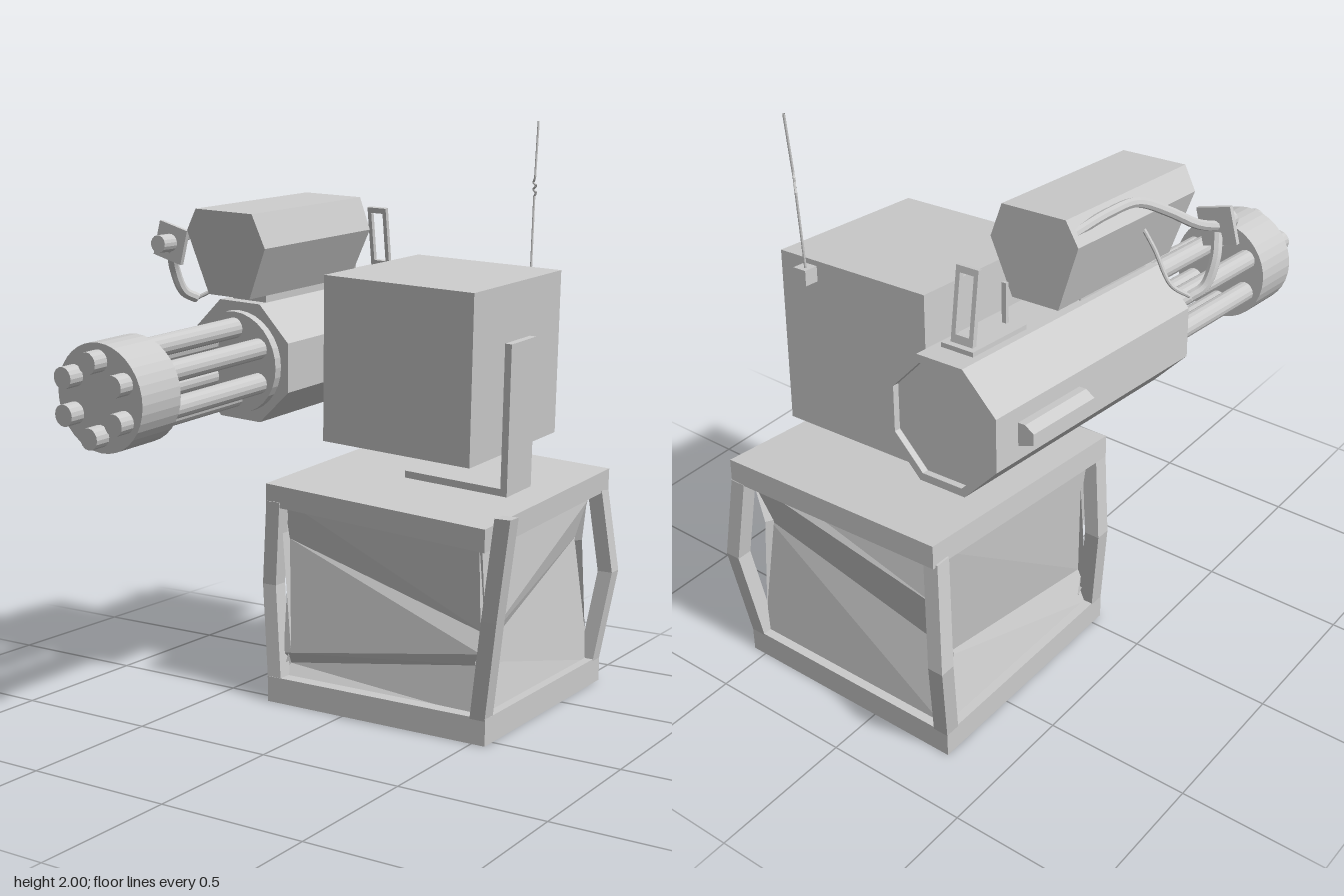
import * as THREE from 'three';

const grey = new THREE.MeshStandardMaterial({ color: 0xcccccc, flatShading: true });
const sheet = new THREE.MeshStandardMaterial({ color: 0xcccccc, flatShading: true, side: THREE.DoubleSide });

function add(parent, name, geometry, x = 0, y = 0, z = 0, material = grey) {
  const mesh = new THREE.Mesh(geometry, material);
  mesh.name = name;
  mesh.position.set(x, y, z);
  parent.add(mesh);
  return mesh;
}

// Box given by its lower and upper corner
function block(parent, name, a, b) {
  const size = b.map((v, i) => v - a[i]);
  const mid = b.map((v, i) => (v + a[i]) / 2);
  return add(parent, name, new THREE.BoxGeometry(...size), ...mid);
}

// Round bar along z
function bar(parent, name, r, z0, z1, x = 0, y = 0, sides = 16) {
  const g = new THREE.CylinderGeometry(r, r, z1 - z0, sides).rotateX(Math.PI / 2);
  return add(parent, name, g, x, y, (z0 + z1) / 2);
}

function tube(parent, name, pts, r, straight = false) {
  const v = pts.map(p => new THREE.Vector3(...p));
  let curve = new THREE.CatmullRomCurve3(v);
  if (straight) {
    curve = new THREE.CurvePath();
    for (let i = 1; i < v.length; i++) curve.add(new THREE.LineCurve3(v[i - 1], v[i]));
  }
  return add(parent, name, new THREE.TubeGeometry(curve, straight ? 60 : 28, r, 8), 0, 0, 0, sheet);
}

// Polygon, optionally with a hole, extruded along z
function prism(parent, name, pts, z0, z1, hole) {
  const shape = new THREE.Shape(pts.map(p => new THREE.Vector2(...p)));
  if (hole) shape.holes.push(new THREE.Path(hole.map(p => new THREE.Vector2(...p))));
  const g = new THREE.ExtrudeGeometry(shape, { depth: z1 - z0, bevelEnabled: false });
  return add(parent, name, g, 0, 0, z0);
}

const octagon = r => Array.from({ length: 8 }, (_, i) => {
  const a = (i + 0.5) * Math.PI / 4;
  return [r * Math.cos(a), r * Math.sin(a)];
});

// Square post bent through three points
function post(parent, name, pts) {
  const g = new THREE.BoxGeometry(0.055, 2, 0.055, 1, 2, 1);
  const p = g.attributes.position;
  for (let i = 0; i < p.count; i++) {
    const c = pts[Math.round(p.getY(i)) + 1];
    p.setXYZ(i, p.getX(i) + c[0], c[1], p.getZ(i) + c[2]);
  }
  return add(parent, name, g);
}

// Creased sheet; each row is [height at left, height at right, inset at left, inset at right]
function panel(parent, name, turn, rows) {
  const pos = [], idx = [];
  rows.forEach(([l, r, insetL, insetR], i) => {
    pos.push(-0.39, l, 0.4 - insetL, 0.39, r, 0.4 - insetR);
    if (i) {
      const k = 2 * i;
      idx.push(k - 2, k, k + 1, k - 2, k + 1, k - 1);
    }
  });
  const g = new THREE.BufferGeometry();
  g.setAttribute('position', new THREE.Float32BufferAttribute(pos, 3));
  g.setIndex(idx);
  g.computeVertexNormals();
  add(parent, name, g, 0, 0, 0, sheet).rotation.y = turn * Math.PI / 2;
}

function createBase() {
  const base = new THREE.Group();
  base.name = 'base';
  base.position.set(0.12, 0, -0.38);
  block(base, 'baseSlab', [-0.43, 0, -0.43], [0.43, 0.09, 0.43]);

  // Dented side panels
  panel(base, 'frontPanel', 0, [[0.71, 0.66, 0.02, 0.01], [0.57, 0.35, 0.05, 0.04],
    [0.17, 0.29, 0.01, 0.01], [0.125, 0.245, 0.05, 0.04], [0.08, 0.08, 0.01, 0.01]]);
  panel(base, 'rightPanel', 1, [[0.66, 0.72, 0.02, 0.01], [0.31, 0.665, 0.01, 0.01],
    [0.26, 0.55, 0.03, 0.04], [0.08, 0.08, 0, 0]]);
  panel(base, 'backPanel', 2, [[0.73, 0.78, 0.03, 0.06], [0.69, 0.55, 0.01, 0.01],
    [0.53, 0.34, 0.05, 0.06], [0.08, 0.08, 0, 0]]);
  panel(base, 'leftPanel', 3, [[0.78, 0.71, 0, 0], [0.31, 0.2, 0.06, 0.04], [0.08, 0.08, 0, 0]]);

  // Buckled corner posts, one torn loose
  post(base, 'frontLeftPost', [[-0.402, 0.08, 0.402], [-0.44, 0.41, 0.375], [-0.405, 0.71, 0.4]]);
  post(base, 'frontRightPost', [[0.4, 0.08, 0.402], [0.47, 0.43, 0.46], [0.54, 0.775, 0.51]]);
  post(base, 'backLeftPost', [[-0.402, 0.08, -0.402], [-0.448, 0.41, -0.472], [-0.395, 0.77, -0.415]]);
  post(base, 'backRightPost', [[0.402, 0.08, -0.402], [0.455, 0.41, -0.435], [0.42, 0.71, -0.41]]);
  return base;
}

function createGun() {
  const gun = new THREE.Group();
  gun.name = 'gun';
  gun.position.set(-0.497, 0.431, 0);

  // Eight-sided housing with a rim at the rear
  prism(gun, 'housing', octagon(0.217), -0.435, 0.5);
  prism(gun, 'rearRim', octagon(0.217), -0.457, -0.435, octagon(0.19));
  bar(gun, 'frontCollar', 0.172, 0.5, 0.53, 0, 0, 32);

  // Six barrels held by a drum
  for (let i = 0; i < 6; i++) {
    const a = Math.PI / 2 + i * Math.PI / 3;
    bar(gun, 'barrel', 0.035, 0.52, 1.237, 0.117 * Math.cos(a), 0.117 * Math.sin(a));
  }
  bar(gun, 'barrelDrum', 0.172, 1.008, 1.183, 0, 0, 36);

  // Grip rail and sights
  prism(gun, 'sideRail', [[-0.195, -0.04], [-0.195, 0.035], [-0.225, 0.035], [-0.255, 0.015], [-0.255, -0.02]], -0.36, -0.075);
  block(gun, 'sightBase', [-0.058, 0.195, -0.38], [0.058, 0.215, -0.14]);
  const frame = prism(gun, 'rearSightFrame',
    [[-0.04, 0], [0.04, 0], [0.04, 0.23], [-0.04, 0.23]], -0.008, 0.008,
    [[-0.025, 0.03], [0.025, 0.03], [0.025, 0.21], [-0.025, 0.21]]);
  frame.position.set(0, 0.21, -0.36);
  frame.rotation.x = 0.14;
  block(gun, 'frontSight', [-0.008, 0.21, -0.17], [0.008, 0.34, -0.158]);

  // Pod on a short neck above the housing
  block(gun, 'podNeck', [-0.06, 0.19, 0.12], [0.08, 0.24, 0.46]);
  const pod = prism(gun, 'pod',
    [[-0.095, -0.16], [0.075, -0.16], [0.155, 0.015], [0.112, 0.125], [-0.12, 0.125], [-0.165, 0.05]], -0.025, 0.59);
  pod.position.x = 0.01;
  pod.position.y = 0.385;
  // Front face rakes back towards the bottom
  const p = pod.geometry.attributes.position;
  for (let i = 0; i < p.count; i++) {
    if (p.getZ(i) > 0.3) p.setZ(i, p.getZ(i) + (p.getY(i) - 0.125) * 0.12);
  }
  return gun;
}

export function createModel() {
  const model = new THREE.Group();
  model.name = 'turret';
  model.add(createBase());

  // Everything above the base leans together
  const head = new THREE.Group();
  head.name = 'head';
  head.position.set(0.13, 0.777, -0.385);
  head.rotation.set(0.078, -0.026, -0.064);
  model.add(head);
  block(head, 'lid', [-0.433, -0.078, -0.435], [0.433, 0, 0.443]);
  block(head, 'body', [-0.293, 0.143, -0.283], [0.288, 0.717, 0.303]);
  block(head, 'bracketArm', [0.29, 0, -0.07], [0.315, 0.522, 0.097]);
  block(head, 'bracketFoot', [-0.09, 0, -0.07], [0.29, 0.025, 0.097]);
  block(head, 'antennaMount', [0.137, 0.65, -0.332], [0.187, 0.7, -0.283]);
  head.add(createGun());

  // Whip antenna with a kinked spring
  const whip = [[0.337, 1.46, -0.636], [0.337, 1.745, -0.654]];
  for (let i = 0; i < 4; i++) {
    const s = i % 2 ? -0.013 : 0.013;
    whip.push([0.337 + s, 1.755 + i * 0.012, -0.656 + s]);
  }
  whip.push([0.337, 1.805, -0.658], [0.337, 2.0, -0.678]);
  tube(model, 'antenna', whip, 0.004, true);

  // Lamp on a curved stalk, with a hanging cable
  const lamp = new THREE.Group();
  lamp.name = 'lamp';
  lamp.position.set(-0.612, 1.59, 0.17);
  lamp.rotation.set(0.05, 0, -0.3);
  block(lamp, 'lampPlate', [-0.06, -0.06, -0.008], [0.06, 0.06, 0.008]);
  bar(lamp, 'lampLens', 0.03, 0, 0.072);
  model.add(lamp);
  tube(model, 'lampStalk', [[-0.43, 1.71, -0.33], [-0.445, 1.72, -0.18], [-0.46, 1.705, -0.04],
    [-0.52, 1.66, 0.04], [-0.585, 1.62, 0.09], [-0.61, 1.59, 0.165]], 0.016);
  tube(model, 'lampCable', [[-0.615, 1.57, 0.165], [-0.633, 1.5, 0.13], [-0.625, 1.42, 0.09],
    [-0.6, 1.395, 0.05]], 0.018);
  tube(model, 'thinCable', [[-0.6, 1.395, 0.05], [-0.55, 1.43, 0.02], [-0.49, 1.54, 0.01], [-0.44, 1.62, 0]], 0.007);
  return model;
}
